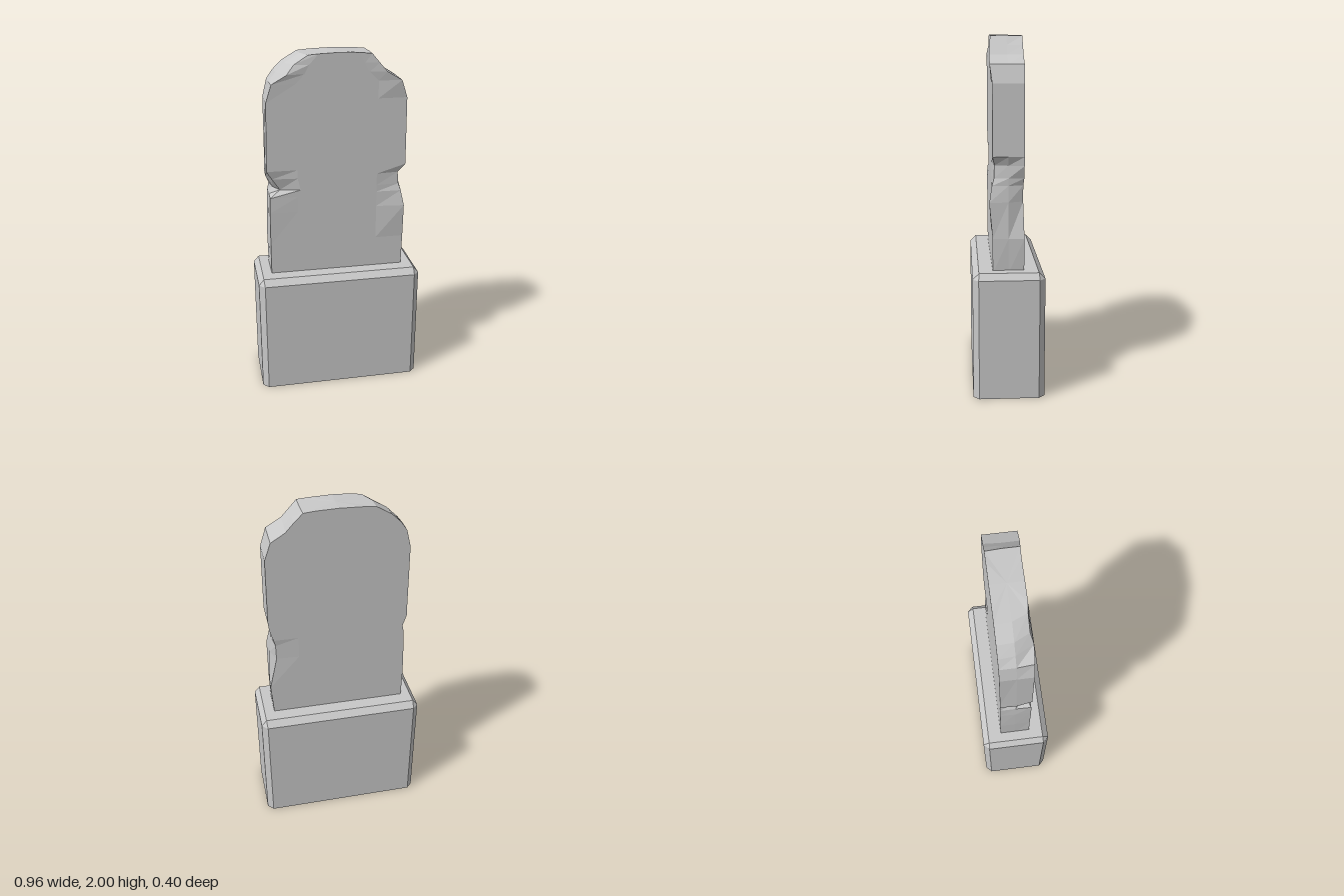
import * as THREE from 'three';

// Joins closed rings of points (counter-clockwise from above) and caps both ends
function loft(rings, bottomCentre, topCentre) {
  const pos = [];
  const tri = (a, b, c) => {
    const t = new THREE.Triangle(new THREE.Vector3(...a), new THREE.Vector3(...b), new THREE.Vector3(...c));
    if (t.getArea() > 1e-7) pos.push(...a, ...b, ...c);
  };
  const n = rings[0].length, last = rings[rings.length - 1];
  for (let i = 0; i < n; i++) {
    const k = (i + 1) % n;
    for (let j = 0; j < rings.length - 1; j++) {
      const lo = rings[j], hi = rings[j + 1];
      tri(lo[i], lo[k], hi[k]);
      tri(lo[i], hi[k], hi[i]);
    }
    tri(bottomCentre, rings[0][k], rings[0][i]);
    tri(topCentre, last[i], last[k]);
  }
  const g = new THREE.BufferGeometry();
  g.setAttribute('position', new THREE.Float32BufferAttribute(pos, 3));
  g.computeVertexNormals();
  return g;
}

// Rectangle with cut corners
const cutRect = (y, x, z, c) => [
  [-x + c, y, z], [x - c, y, z], [x, y, z - c], [x, y, -z + c],
  [x - c, y, -z], [-x + c, y, -z], [-x, y, -z + c], [-x, y, z - c],
];

// One level of the weathered slab: x of the left (-x) and right (+x) sides at
// front, middle and back, then the depth of the front corners and back right corner
function slabRing([y, l, r, zl = 0.087, zr = 0.087, back = -0.087]) {
  const inner = (x) => Math.sign(x) * Math.min(0.23, Math.abs(x) * 0.65);
  const crown = y > 1.95 ? 0.01 : 0;
  const shoulder = y + crown * 0.6;
  return [
    [l[0], y, zl], [inner(l[0]), shoulder, 0.087], [0, y + crown, 0.087],
    [inner(r[0]), shoulder, 0.087], [r[0], y, zr],
    [r[1], y, 0],
    [r[2], y, back], [inner(r[2]), shoulder, -0.087], [0, y + crown, -0.087],
    [inner(l[2]), shoulder, -0.087], [l[2], y, -0.087],
    [l[1], y, 0],
  ];
}

export function createModel() {
  const group = new THREE.Group();
  const stone = new THREE.MeshStandardMaterial({ color: 0xc8c8c8 });
  stone.name = 'grey stone';
  const add = (name, geometry) => {
    const mesh = new THREE.Mesh(geometry, stone);
    mesh.name = name;
    group.add(mesh);
  };

  // Plinth with cut corners and a bevelled top edge
  add('plinth', loft([
    cutRect(0, 0.48, 0.2, 0.033),
    cutRect(0.685, 0.48, 0.2, 0.033),
    cutRect(0.72, 0.45, 0.165, 0),
  ], [0, 0, 0], [0, 0.72, 0]));

  // Upright slab with chipped edges and a rounded top
  const levels = [
    [0.70, [-0.395, -0.395, -0.395], [0.39, 0.39, 0.39]],
    [0.90, [-0.395, -0.398, -0.398], [0.395, 0.4, 0.405]],
    [1.10, [-0.393, -0.395, -0.393], [0.393, 0.388, 0.36], 0.09, 0.105, -0.082],
    [1.19, [-0.39, -0.388, -0.388], [0.375, 0.378, 0.362], 0.088, 0.09, -0.082],
    [1.23, [-0.33, -0.365, -0.38], [0.362, 0.378, 0.372], 0.06, 0.078],
    [1.30, [-0.375, -0.405, -0.402], [0.357, 0.375, 0.392], 0.075, 0.075],
    [1.35, [-0.405, -0.405, -0.4], [0.398, 0.398, 0.398]],
    [1.74, [-0.397, -0.397, -0.397], [0.395, 0.395, 0.395]],
    [1.84, [-0.365, -0.372, -0.372], [0.36, 0.36, 0.36], 0.09, 0.1],
    [1.89, [-0.28, -0.33, -0.337], [0.275, 0.275, 0.28], 0.095, 0.1],
    [1.94, [-0.24, -0.28, -0.285], [0.232, 0.232, 0.235], 0.08, 0.095],
    [1.99, [-0.16, -0.195, -0.2], [0.19, 0.19, 0.185], 0.08, 0.09],
  ];
  add('slab', loft(levels.map(slabRing), [0, 0.70, 0], [0, 2, 0]));
  return group;
}
